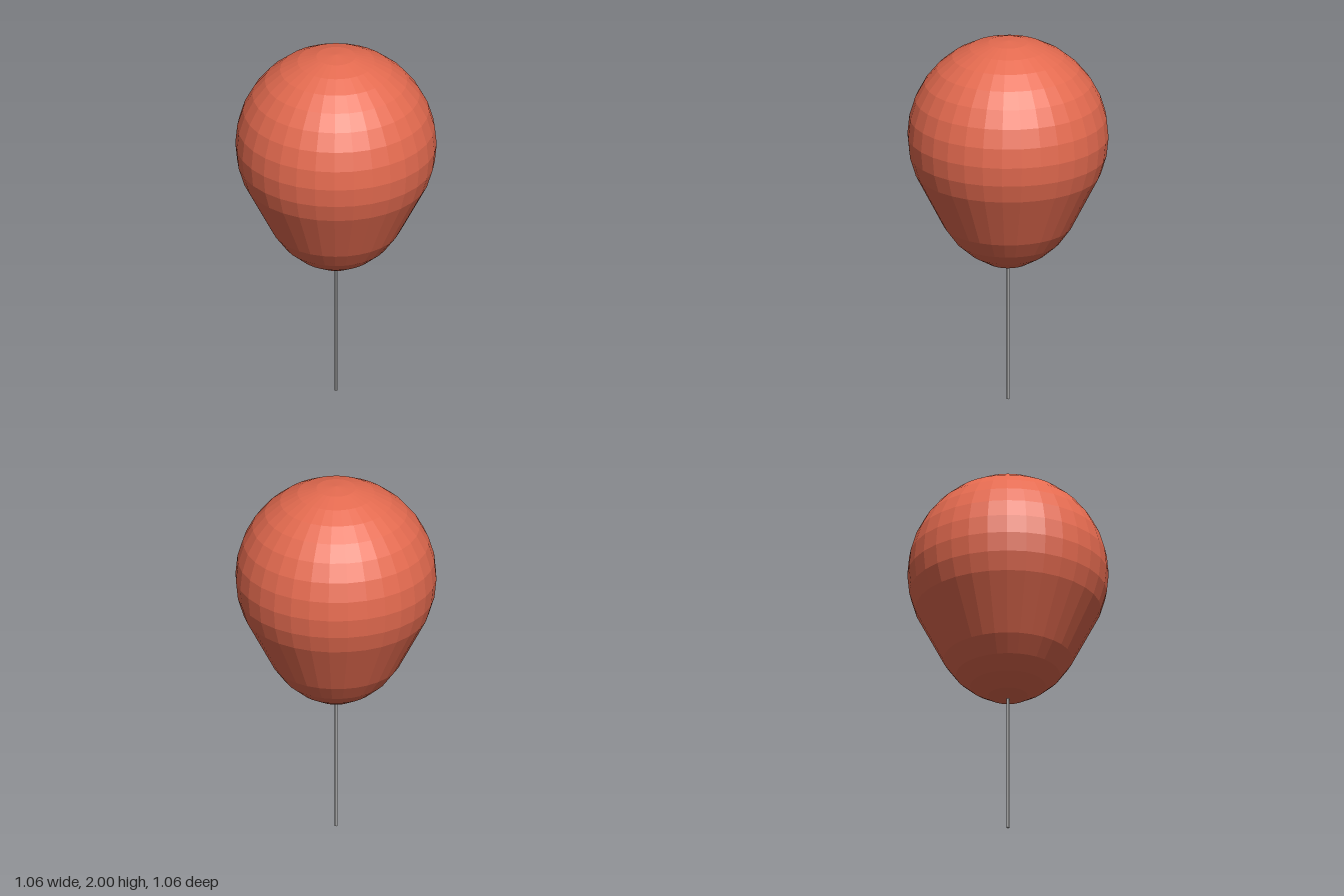
import * as THREE from 'three';

const SIDES = 32;
const RADIUS = 0.53;
const CENTRE_Y = 1.47;

export function createModel() {
  const model = new THREE.Group();
  model.name = 'balloonOnStick';

  // Balloon profile, bottom to top: rounded tip, then a straight taper
  const profile = [
    [0, 0.745], [0.105, 0.765], [0.2, 0.82], [0.275, 0.885], [0.34, 0.975],
  ].map(([r, y]) => new THREE.Vector2(r, y));

  // Spherical crown, starting two rings below the equator
  for (let ring = -2; ring <= 8; ring++) {
    const a = (ring / 16) * Math.PI;
    profile.push(new THREE.Vector2(
      ring === 8 ? 0 : RADIUS * Math.cos(a),
      CENTRE_Y + RADIUS * Math.sin(a),
    ));
  }

  const balloon = new THREE.Mesh(
    new THREE.LatheGeometry(profile, SIDES),
    new THREE.MeshStandardMaterial({ color: 0xe56b50, flatShading: true }),
  );
  balloon.name = 'balloon';
  model.add(balloon);

  // Thin stick reaching just inside the tip
  const height = 0.76;
  const stick = new THREE.Mesh(
    new THREE.CylinderGeometry(0.009, 0.009, height, 8),
    new THREE.MeshStandardMaterial({ color: 0xcccccc, flatShading: true }),
  );
  stick.name = 'stick';
  stick.position.y = height / 2;
  model.add(stick);

  return model;
}
